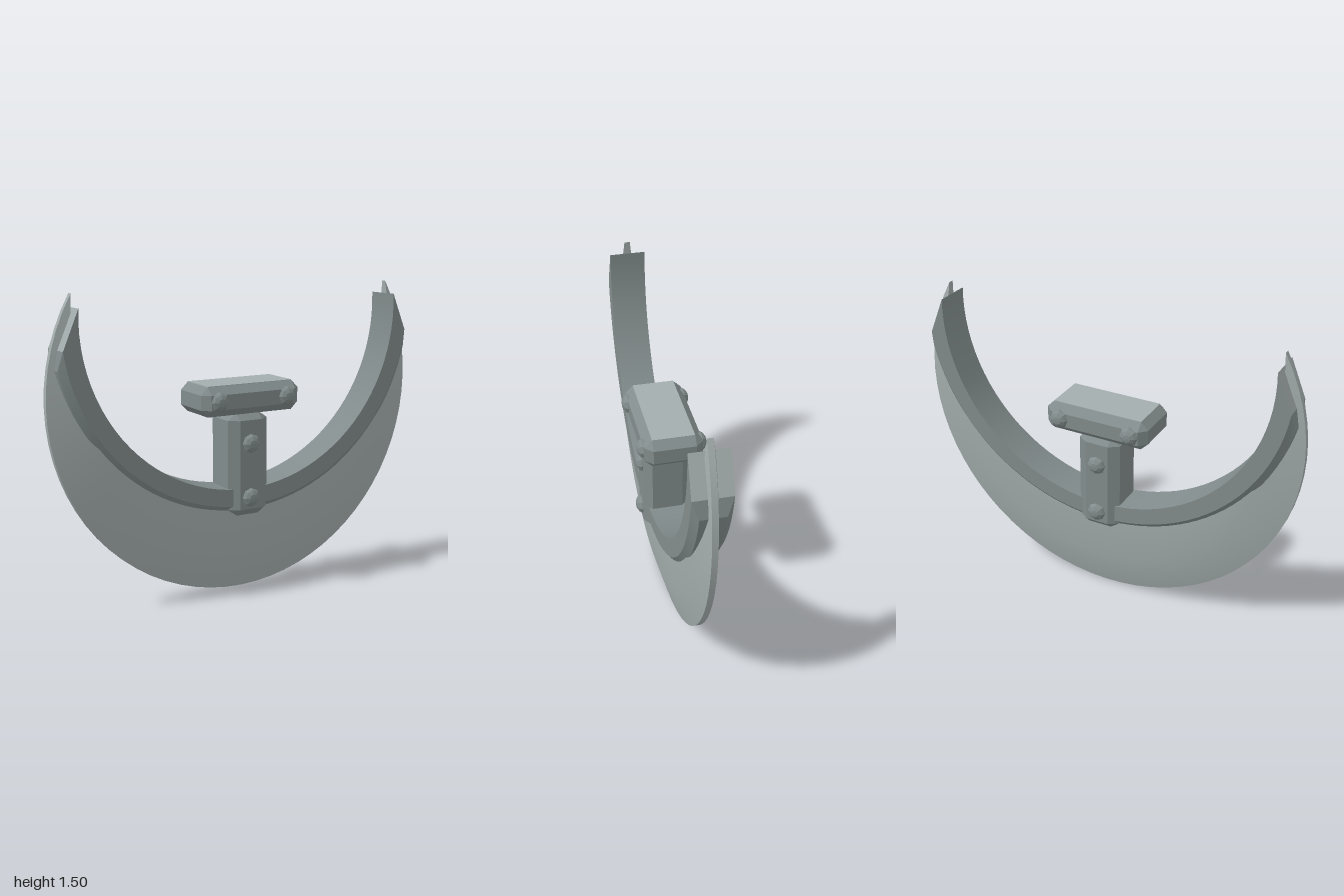
import * as THREE from 'three';
import { ConvexGeometry } from 'three/addons/geometries/ConvexGeometry.js';

const rad = THREE.MathUtils.degToRad;

// Smooth loft through rows; each row is a function t (0..1) -> [x, y, z]
function loft(rows, n) {
  const pos = [], idx = [], w = n + 1;
  rows.forEach((row) => {
    for (let i = 0; i <= n; i++) pos.push(...row(i / n));
  });
  for (let j = 0; j < rows.length - 1; j++) {
    for (let i = 0; i < n; i++) {
      const a = j * w + i, b = a + w;
      idx.push(b, b + 1, a + 1, b, a + 1, a);
    }
  }
  const g = new THREE.BufferGeometry();
  g.setAttribute('position', new THREE.Float32BufferAttribute(pos, 3));
  g.setIndex(idx);
  g.computeVertexNormals();
  return g;
}

// Box with every edge and corner chamfered; h = half sizes, c = chamfer per axis
function chamferBox(h, c) {
  const pts = [];
  for (const sx of [-1, 1]) for (const sy of [-1, 1]) for (const sz of [-1, 1]) {
    for (let k = 0; k < 3; k++) {
      const p = h.map((v, i) => (i === k ? v : v - c[i]));
      pts.push(new THREE.Vector3(p[0] * sx, p[1] * sy, p[2] * sz));
    }
  }
  return new ConvexGeometry(pts);
}

export function createModel() {
  const model = new THREE.Group();
  const steel = new THREE.MeshStandardMaterial({ color: 0xa4adad });
  steel.name = 'light steel';
  const iron = new THREE.MeshStandardMaterial({ color: 0x828c8c });
  iron.name = 'dark steel';

  const add = (name, geometry, material, x = 0, y = 0, z = 0, parent = model) => {
    const m = new THREE.Mesh(geometry, material);
    m.name = name;
    m.position.set(x, y, z);
    parent.add(m);
    return m;
  };

  // Crescent blade: flat core, then a bevel from radius 0.8 to the edge at 1
  const blade = new THREE.Group();
  blade.name = 'blade';
  model.add(blade);
  const innerRadius = (a) =>
    Math.min(1, 0.385 * Math.sin(a) + Math.sqrt(0.8745 ** 2 - (0.385 * Math.cos(a)) ** 2));
  const bladeRow = (kind, side) => (t) => {
    const a = rad(-210 + 240 * t);
    const rho = innerRadius(a);
    const r = { inner: rho, crease: Math.max(0.8, rho + 0.2 * (1 - rho)), edge: 1 }[kind];
    const z = 0.07 - 0.056 * Math.max(0, (r - 0.8) / 0.2);
    return [r * Math.cos(a), 1 + r * Math.sin(a), z * side];
  };
  const bladeParts = {
    bladeFront: [['inner', 1], ['crease', 1], ['edge', 1]],
    bladeEdge: [['edge', 1], ['edge', -1]],
    bladeBack: [['edge', -1], ['crease', -1], ['inner', -1]],
    bladeInside: [['inner', -1], ['inner', 1]],
  };
  for (const [name, rows] of Object.entries(bladeParts)) {
    add(name, loft(rows.map((r) => bladeRow(...r)), 48), steel, 0, 0, 0, blade);
  }

  // Rim along the blade's inner curve: [radius, z, end angle]
  const rim = new THREE.Group();
  rim.name = 'rim';
  model.add(rim);
  const profile = [
    [0.865, 0.09, 3.5], [0.95, 0.09, -8], [0.983, 0.06, -13],
    [0.983, -0.06, -13], [0.95, -0.09, -8], [0.865, -0.09, 3.5],
  ];
  const rimRow = ([r, z, end]) => (t) => {
    const a = rad(-90 + (90 + end) * (2 * t - 1));
    return [r * Math.cos(a), 1.385 + r * Math.sin(a), z];
  };
  profile.forEach((p, i) => {
    const next = profile[(i + 1) % profile.length];
    add('rimSide', loft([rimRow(p), rimRow(next)], 48), iron, 0, 0, 0, rim);
  });

  // Slanted rim ends
  for (const end of [0, 1]) {
    const rows = profile.slice(0, 3).map(([r, z, e]) => (t) =>
      rimRow([r, (end ? 1 - 2 * t : 2 * t - 1) * z, e])(end));
    for (let i = 0; i < 2; i++) {
      add('rimEnd', loft(rows.slice(i, i + 2), 1), i ? iron : steel, 0, 0, 0, rim);
    }
  }

  // Handle post and crossbar grip
  add('post', chamferBox([0.11, 0.257, 0.11], [0.05, 0.035, 0.035]), iron, 0, 0.643, 0);
  add('grip', chamferBox([0.27, 0.072, 0.14], [0.037, 0.036, 0.038]), iron, 0, 0.97, 0);
  add('gripTop', new THREE.BoxGeometry(0.466, 0.004, 0.204), steel, 0, 1.043, 0);

  // Domed rivets on both faces
  const dome = [[0.047, -0.02], [0.047, 0.008], [0.038, 0.02], [0.02, 0.03], [0, 0.032]]
    .map((p) => new THREE.Vector2(...p));
  const rivetGeometry = new THREE.LatheGeometry(dome, 8).toNonIndexed();
  rivetGeometry.computeVertexNormals();
  const rivets = [[0, 0.75, 0.107], [0, 0.48, 0.107], [0.187, 0.972, 0.134], [-0.187, 0.972, 0.134]];
  for (const [x, y, z] of rivets) {
    for (const s of [1, -1]) {
      add('rivet', rivetGeometry, iron, x, y, z * s).rotation.x = s * Math.PI / 2;
    }
  }
  return model;
}
